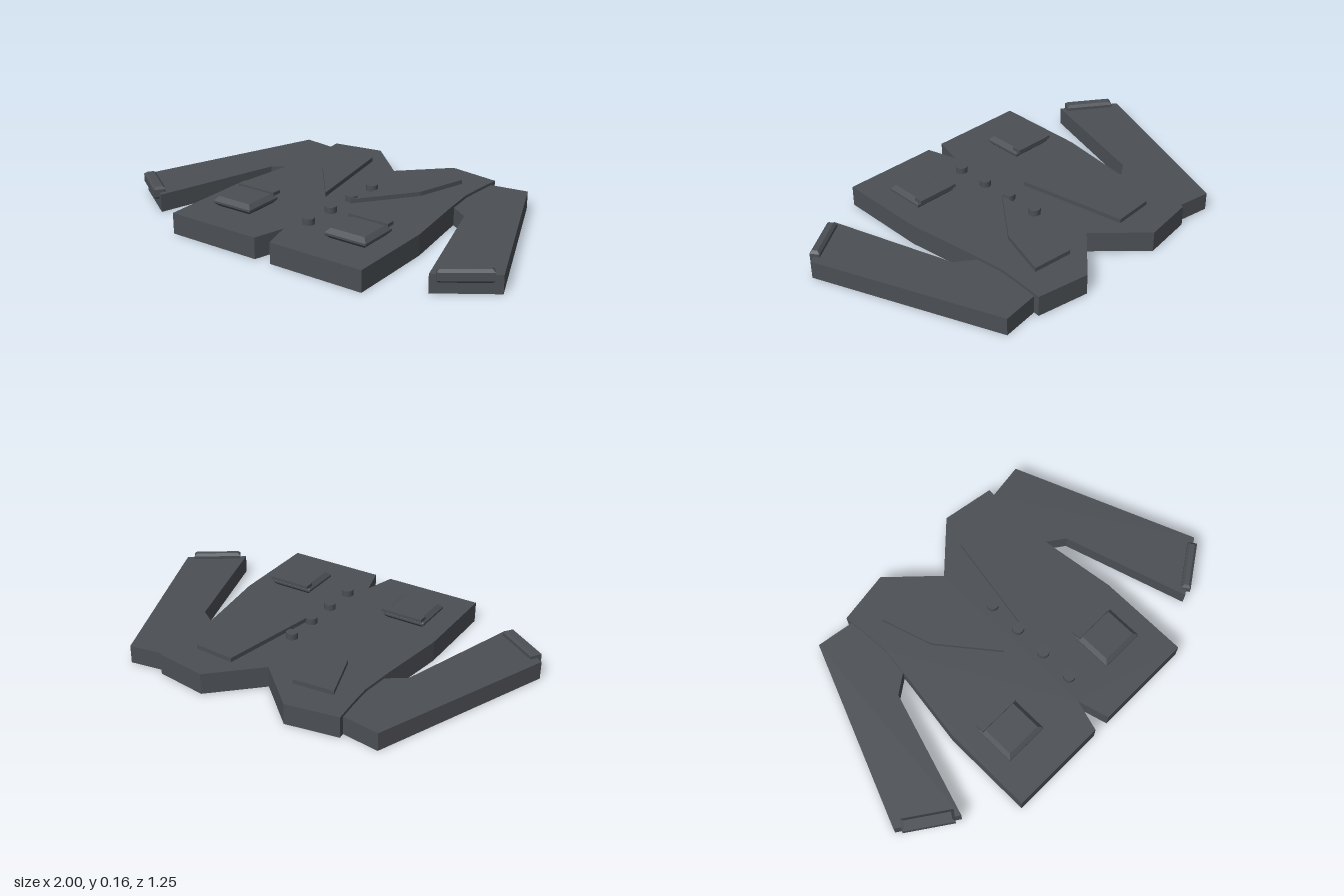
import * as THREE from 'three';

export function createModel() {
  const model = new THREE.Group();
  model.name = 'jacket';
  const cloth = new THREE.MeshStandardMaterial({ color: 0x4b4f54 });
  cloth.name = 'charcoal cloth';

  // Flat panel from [x, z] corners, standing from y0 to y1, with optional bevelled rims
  function slab(name, points, y0, y1, bevel = 0) {
    const shape = new THREE.Shape(points.map(([x, z]) => new THREE.Vector2(x, -z)));
    const geometry = new THREE.ExtrudeGeometry(shape, {
      depth: y1 - y0 - 2 * bevel,
      bevelEnabled: bevel > 0,
      bevelThickness: bevel,
      bevelSize: bevel,
      bevelOffset: -bevel,
      bevelSegments: 1,
    });
    geometry.translate(0, 0, bevel);
    geometry.rotateX(-Math.PI / 2);
    geometry.translate(0, y0, 0);
    const mesh = new THREE.Mesh(geometry, cloth);
    mesh.name = name;
    model.add(mesh);
    return mesh;
  }
  const mirror = (points, side) => points.map(([x, z]) => [x * side, z]);
  const rect = (x0, x1, z0, z1) => [[x0, z0], [x1, z0], [x1, z1], [x0, z1]];

  // Body, with neck notch and hem vent on the centre line
  const half = [[0.22, -0.625], [0.475, -0.585], [0.463, -0.46], [0.456, -0.34],
    [0.475, -0.16], [0.52, 0.175], [0.52, 0.62], [0.042, 0.62]];
  slab('body', [[0, -0.415], ...half, [0, 0.47], ...mirror(half, -1).reverse()], 0, 0.102);

  for (const side of [1, -1]) {
    const label = side > 0 ? 'left' : 'right';

    // Sleeve, tucked into the body at the armhole
    slab(label + 'Sleeve', mirror([[0.44, -0.55], [0.472, -0.555], [0.655, -0.582], [1, 0.295],
      [0.745, 0.465], [0.56, -0.14], [0.475, -0.2], [0.44, -0.22]], side), 0, 0.088);

    // Lapel
    slab(label + 'Lapel', mirror([[0.165, -0.47], [0.365, -0.455], [0.285, -0.205],
      [0.072, 0.06]], side), 0.1, 0.123);

    // Padded pocket and its flap
    slab(label + 'Pocket', mirror(rect(0.208, 0.424, 0.25, 0.45), side), 0.1, 0.15, 0.02);
    slab(label + 'PocketFlap', mirror(rect(0.21, 0.42, 0.23, 0.275), side), 0.144, 0.16);

    // Cuff band across the sleeve end
    const w = side > 0 ? 0.023 : 0.029;
    const cuff = slab(label + 'Cuff', rect(-0.12, 0.12, -w, w), 0.053, 0.115, 0.012);
    cuff.position.set(0.867 * side, 0, 0.378);
    cuff.rotation.y = 0.6 * side;
  }

  // Front buttons
  for (const z of [-0.14, 0.028, 0.193, 0.36]) {
    const button = new THREE.Mesh(new THREE.CylinderGeometry(0.028, 0.028, 0.032, 16), cloth);
    button.name = 'button';
    button.position.set(0.055, 0.116, z);
    model.add(button);
  }
  return model;
}
